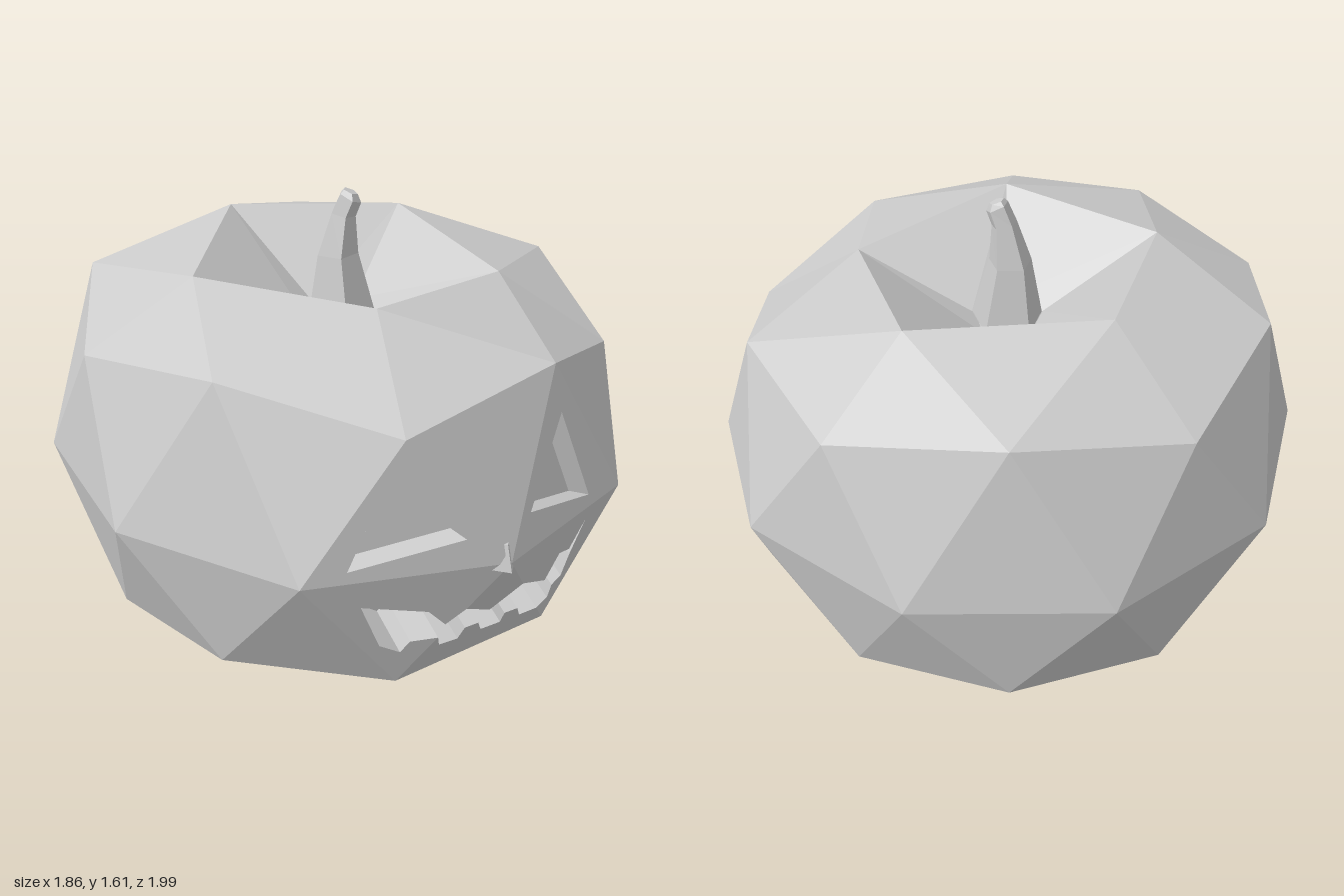
import * as THREE from 'three';

const V = (x, y, z) => new THREE.Vector3(x, y, z);
const material = new THREE.MeshStandardMaterial({ color: 0xcccccc, flatShading: true, side: THREE.DoubleSide });

// Flat-faced mesh from a list of triangles (each three points)
function facetMesh(name, tris) {
  const geo = new THREE.BufferGeometry().setFromPoints(tris.flat());
  geo.computeVertexNormals();
  const mesh = new THREE.Mesh(geo, material);
  mesh.name = name;
  return mesh;
}

// Ring of n points about the vertical axis; heights are given per point
function ring(n, startDeg, radius, height) {
  return Array.from({ length: n }, (_, i) => {
    const a = THREE.MathUtils.degToRad(startDeg + (360 / n) * i);
    const r = 0.98 * radius(i);
    return V(r * Math.cos(a), height(i), r * Math.sin(a) - 0.02);
  });
}

// Puts a front-projected point (x, y) onto the plane of a triangle
function onPlane([x, y], tri) {
  const plane = new THREE.Plane().setFromCoplanarPoints(...tri);
  const n = plane.normal;
  return V(x, y, -(n.x * x + n.y * y + plane.constant) / n.z);
}

// Front-facing skin panel with optional hole, from coplanar points
function panel(points, hole) {
  const flat = (ps) => {
    const out = ps.slice();
    if (THREE.ShapeUtils.isClockWise(out)) out.reverse();
    return out;
  };
  const outline = flat(points);
  const holes = hole ? [flat(hole).reverse()] : [];
  const all = [outline, ...holes].flat();
  return THREE.ShapeUtils.triangulateShape(outline, holes).map((f) => f.map((i) => all[i]));
}

// Walls and floor of a pocket pushed in from a closed rim
function pocket(name, rim, push) {
  const loop = THREE.ShapeUtils.isClockWise(rim) ? rim.slice().reverse() : rim;
  const inner = loop.map((p) => p.clone().add(push));
  const tris = panel(inner);
  loop.forEach((p, i) => {
    const k = (i + 1) % loop.length;
    tris.push([p, loop[k], inner[k]], [p, inner[k], inner[i]]);
  });
  return facetMesh(name, tris);
}

function inward(tri, depth) {
  const n = new THREE.Plane().setFromCoplanarPoints(...tri).normal;
  return n.multiplyScalar(n.z > 0 ? -depth : depth);
}

export function createModel() {
  const model = new THREE.Group();
  model.name = 'carvedPumpkin';

  // Rings of the faceted body, from bottom to top
  const bottom = V(0, 0, -0.01);
  const A = ring(5, 36, () => 0.526, () => 0.08);
  const B = ring(10, 0, (j) => (j % 2 ? 0.894 : 0.851), (j) => (j % 2 ? 0.378 : 0.31));
  const E = ring(10, 18, () => 1, (j) => (j % 9 ? 0.8 : 0.76));
  const cHeights = [1.125, 1.27, 1.235, 1.31, 1.235, 1.33, 1.235, 1.31, 1.235, 1.27];
  const C = ring(10, 0, (j) => (j % 2 ? 0.851 : 0.894), (j) => cHeights[j]);
  const D = ring(5, 0, () => 0.526, (i) => [1.355, 1.415, 1.415, 1.45, 1.415][i]);
  const P = ring(5, 0, () => 0.125, () => 1.19);
  // Fuller cheeks around the face
  C[2].z = 0.9;
  E[2].z = 0.99;
  E[1].z = 0.8;

  // Body skin, leaving out the faces around the nose
  const tris = [];
  const add = (a, b, c) => {
    if ([a, b, c].includes(E[1])) return;
    const n = b.clone().sub(a).cross(c.clone().sub(a));
    const out = a.clone().add(b).add(c).divideScalar(3).sub(V(0, 0.8, 0));
    tris.push(n.dot(out) > 0 ? [a, b, c] : [a, c, b]);
  };
  for (let i = 0; i < 5; i++) {
    const k = (i + 1) % 5, j = 2 * i, j1 = j + 1, j2 = (j + 2) % 10;
    add(bottom, A[i], A[k]);
    add(A[i], B[j], B[j1]);
    add(A[i], B[j1], B[j2]);
    add(A[i], A[k], B[j2]);
    add(D[i], C[(j + 9) % 10], C[j]);
    add(D[i], C[j], C[j1]);
    add(D[i], D[k], C[j1]);
    // Sunken hollow round the stem
    add(D[i], D[k], P[i]);
    add(D[k], P[k], P[i]);
  }
  for (let j = 0; j < 10; j++) {
    const k = (j + 1) % 10;
    add(B[j], B[k], E[j]);
    add(B[k], E[j], E[k]);
    add(E[j], C[j], C[k]);
    add(E[j], E[k], C[k]);
  }

  // Eyes cut into the two upper face panels
  const eyes = [
    ['rightEye', [C[2], E[2], E[1]], [[0.125, 0.84], [0.445, 0.9], [0.225, 1.11]]],
    ['leftEye', [C[1], E[1], E[0]], [[0.625, 0.9], [0.82, 0.81], [0.705, 1.12]]],
  ];
  for (const [name, tri, pts] of eyes) {
    const rim = pts.map((p) => onPlane(p, tri));
    tris.push(...panel(tri, rim));
    model.add(pocket(name, rim, inward(tri, 0.07)));
  }
  tris.push(...panel([C[1], C[2], E[1]]));

  // Mouth outline, split where it crosses the two creases below the nose
  const right = [E[2], E[1], B[2]], mid = [E[1], B[2], B[1]], left = [E[1], E[0], B[1]];
  const lift = (tri, pts) => pts.map((p) => onPlane(p, tri));
  const rightUp = E[1].clone().lerp(B[2], 0.367), rightLow = E[1].clone().lerp(B[2], 0.612);
  const leftUp = E[1].clone().lerp(B[1], 0.353), leftLow = E[1].clone().lerp(B[1], 0.823);
  const rightSide = lift(right, [[0.4, 0.56], [0.35, 0.63], [0.16, 0.69], [0.21, 0.5], [0.27, 0.455], [0.3, 0.5]]);
  const lowerMid = lift(mid, [[0.385, 0.45], [0.44, 0.445], [0.46, 0.5], [0.5, 0.5], [0.51, 0.45],
    [0.57, 0.45], [0.58, 0.5], [0.62, 0.5], [0.63, 0.45]]);
  const leftSide = lift(left, [[0.72, 0.46], [0.73, 0.51], [0.76, 0.52], [0.78, 0.6], [0.82, 0.72],
    [0.775, 0.63], [0.74, 0.65], [0.7, 0.57]]);
  const upperMid = lift(mid, [[0.53, 0.56]]);
  tris.push(
    ...panel([E[2], E[1], rightUp, ...rightSide, rightLow, B[2]]),
    ...panel([E[1], leftUp, ...upperMid, rightUp]),
    ...panel([B[2], rightLow, ...lowerMid, leftLow, B[1]]),
    ...panel([E[0], B[1], leftLow, ...leftSide, leftUp, E[1]]),
  );
  const mouthRim = [rightUp, ...rightSide, rightLow, ...lowerMid, leftLow, ...leftSide, leftUp, ...upperMid];
  model.add(pocket('mouth', mouthRim, inward(mid, 0.15)));
  model.add(facetMesh('body', tris));

  // Nose
  const nose = new THREE.Mesh(new THREE.CylinderGeometry(0.018, 0.045, 0.08, 4), material);
  nose.name = 'nose';
  nose.position.set(0.55, 0.82, 0.785);
  nose.rotation.y = 0.63;
  model.add(nose);

  // Stem: five-sided, tapering and bending; rows are centre x, y, radius, tilt
  const sections = [[0, 1.19, 0.122, 0], [-0.01, 1.4, 0.072, 0], [0.01, 1.53, 0.042, -0.2],
    [0.033, 1.585, 0.036, -0.5], [0.034, 1.604, 0.024, -0.4]];
  const rings = sections.map(([x, y, r, tilt]) => ring(5, 0, () => r, () => y).map((p) => {
    p.y += p.x * tilt;
    p.x += x;
    return p;
  }));
  const stem = [];
  for (let s = 0; s < rings.length - 1; s++) {
    for (let i = 0; i < 5; i++) {
      const k = (i + 1) % 5, lo = rings[s], hi = rings[s + 1];
      stem.push([lo[i], hi[i], hi[k]], [lo[i], hi[k], lo[k]]);
    }
  }
  const tip = rings[rings.length - 1];
  for (let i = 1; i < 4; i++) stem.push([tip[0], tip[i + 1], tip[i]]);
  model.add(facetMesh('stem', stem));

  return model;
}
